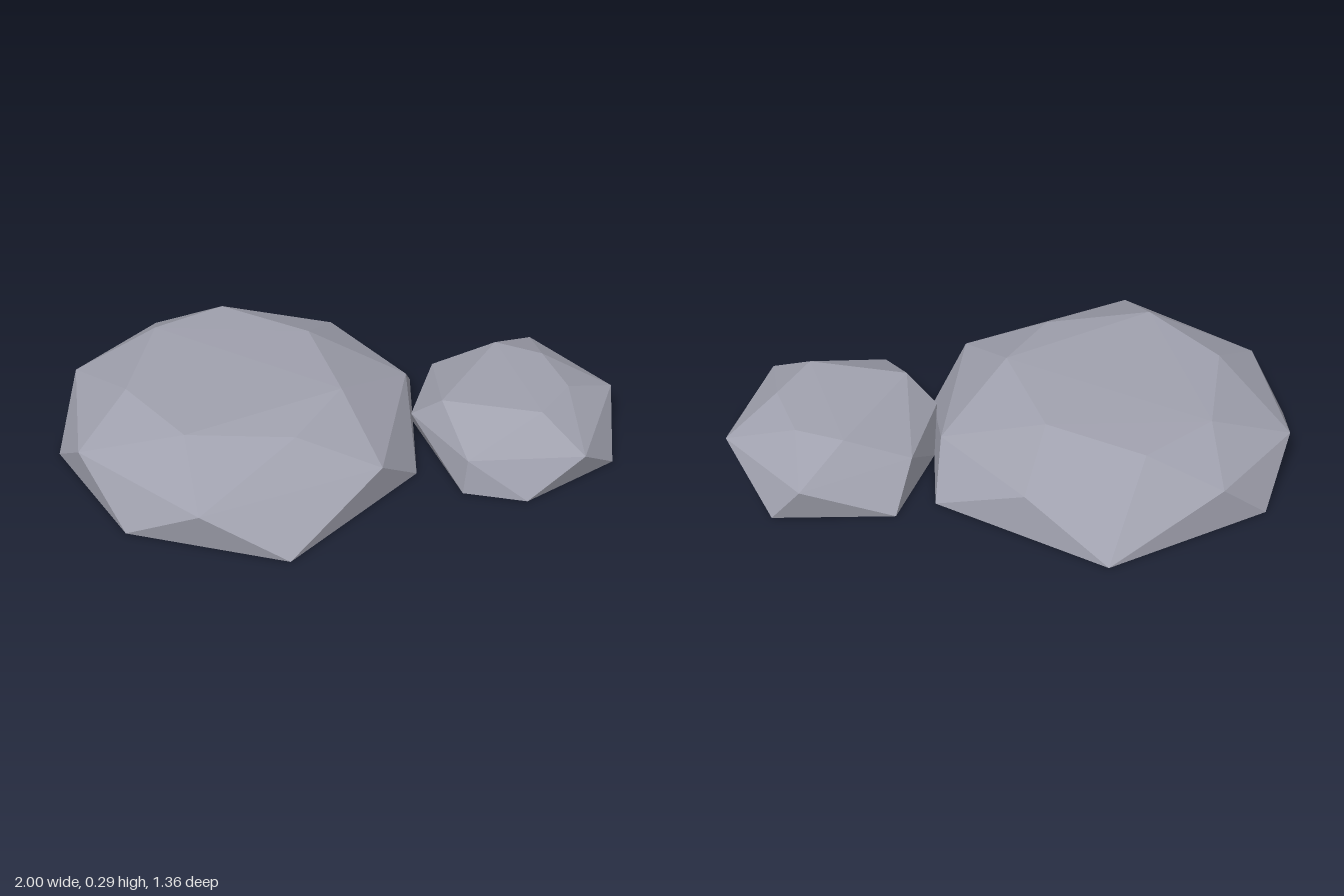
import * as THREE from 'three';
import { ConvexGeometry } from 'three/addons/geometries/ConvexGeometry.js';

// Faceted boulder: the hull of a ground ring, a shoulder ring and a crown
function makeRock(name, rings, material) {
  const points = rings.flat().map(([x, y, z]) => new THREE.Vector3(x, y, z));
  const rock = new THREE.Mesh(new ConvexGeometry(points), material);
  rock.name = name;
  return rock;
}

// Ring of [x, z] corners at one height
const ring = (y, corners) => corners.map(([x, z]) => [x, y, z]);

export function createModel() {
  const stone = new THREE.MeshStandardMaterial({ color: 0xa0a1ae, flatShading: true });
  stone.name = 'grey stone';

  const model = new THREE.Group();
  model.name = 'rocks';

  // Broad flat boulder
  model.add(makeRock('largeRock', [
    ring(0, [[-0.97, 0.27], [-0.6, 0.64], [-0.01, 0.66], [0.32, 0.1], [0.19, -0.46], [-0.45, -0.68], [-0.945, -0.3]]),
    ring(0.155, [[-1, -0.04], [-0.83, 0.43], [-0.32, 0.68], [0.23, 0.285], [0.205, -0.28], [-0.14, -0.55], [-0.8, -0.4]]),
    [[-0.72, 0.283, 0.2], [-0.44, 0.29, 0.42], [-0.07, 0.266, 0.32], [0.03, 0.29, 0.04],
      [-0.17, 0.278, -0.3], [-0.53, 0.272, -0.4], [-0.73, 0.285, -0.19]],
  ], stone));

  // Smaller boulder beside it
  model.add(makeRock('smallRock', [
    ring(0, [[0.73, -0.635], [1, -0.12], [0.73, 0.17], [0.5, 0.175], [0.25, -0.2], [0.31, -0.55]]),
    ring(0.135, [[0.62, -0.645], [0.955, -0.4], [0.91, 0.045], [0.51, 0.16], [0.265, -0.07], [0.285, -0.39]]),
    [[0.38, 0.235, -0.04], [0.74, 0.24, -0.04], [0.81, 0.23, -0.23], [0.69, 0.225, -0.42], [0.51, 0.228, -0.45]],
  ], stone));

  return model;
}
